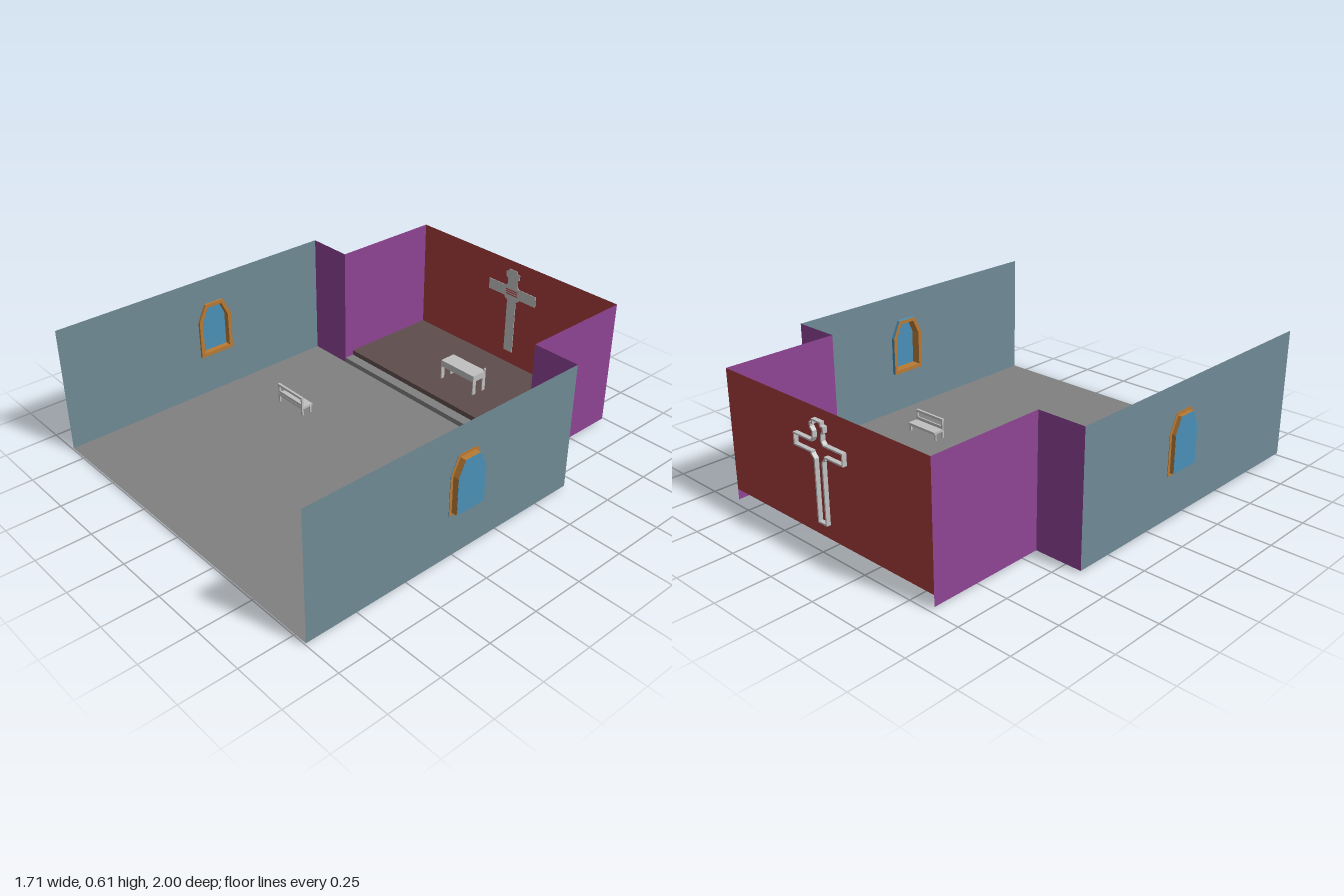
import * as THREE from 'three';

const mat = (name, color, double) => {
  const m = new THREE.MeshStandardMaterial({ color });
  m.name = name;
  if (double) m.side = THREE.DoubleSide;
  return m;
};

export function createModel() {
  const root = new THREE.Group();
  root.name = 'chapelRoom';
  const M = {
    floor: mat('floorGrey', 0x808080, true),
    stage: mat('platformBrown', 0x5e4e4c, true),
    side: mat('wallSlate', 0x708a95, true),
    purple: mat('wallPurple', 0x8e4494, true),
    red: mat('wallRed', 0xa63c3c, true),
    frame: mat('frameOrange', 0xb87a35, true),
    glass: mat('glassBlue', 0x4a90b8, true),
    pale: mat('furnitureGrey', 0xc0c0c0, true),
  };
  const add = (parent, name, geo, material) => {
    const mesh = new THREE.Mesh(geo, material);
    mesh.name = name;
    parent.add(mesh);
    return mesh;
  };
  // Box given by its limits on each axis
  const box = (parent, name, [x0, x1], [y0, y1], [z0, z1], material) =>
    add(parent, name, new THREE.BoxGeometry(x1 - x0, y1 - y0, z1 - z0)
      .translate((x0 + x1) / 2, (y0 + y1) / 2, (z0 + z1) / 2), material);
  // Flat sheets: level, facing z, facing x
  const level = (name, [x0, x1], y, [z0, z1], m) =>
    add(root, name, new THREE.PlaneGeometry(x1 - x0, z1 - z0).rotateX(-Math.PI / 2)
      .translate((x0 + x1) / 2, y, (z0 + z1) / 2), m);
  const facing = (name, [x0, x1], [y0, y1], z, m) =>
    add(root, name, new THREE.PlaneGeometry(x1 - x0, y1 - y0)
      .translate((x0 + x1) / 2, (y0 + y1) / 2, z), m);
  const sideways = (name, x, [y0, y1], [z0, z1], m) =>
    add(root, name, new THREE.PlaneGeometry(z1 - z0, y1 - y0).rotateY(Math.PI / 2)
      .translate(x, (y0 + y1) / 2, (z0 + z1) / 2), m);
  const shape = (pts, hole) => {
    const s = new THREE.Shape(pts.map(p => new THREE.Vector2(...p)));
    if (hole) s.holes.push(new THREE.Path(hole.map(p => new THREE.Vector2(...p))));
    return s;
  };
  const extrude = (s, depth) => new THREE.ExtrudeGeometry(s, { depth, bevelEnabled: false });

  const L = -0.835, R = 0.82, AL = -0.61, AR = 0.595;
  const base = 0.01, top = 0.61, front = 1, neck = -0.43, back = -0.98;

  // Floors and the step up to the platform
  level('mainFloor', [L, R], base, [neck, front], M.floor);
  facing('lowerRiser', [AL, AR], [base, 0.035], neck, M.floor);
  level('stepTread', [AL, AR], 0.035, [-0.48, neck], M.floor);
  facing('upperRiser', [AL, AR], [0.035, 0.06], -0.48, M.stage);
  level('platform', [AL, AR], 0.06, [back, -0.48], M.stage);

  // Alcove walls
  facing('backWall', [AL, AR], [0.06, top], back, M.red);
  facing('rightShoulderWall', [L, AL], [base, top], neck, M.purple);
  facing('leftShoulderWall', [AR, R], [base, top], neck, M.purple);
  sideways('rightAlcoveWall', AL, [base, top], [back, neck], M.purple);
  sideways('leftAlcoveWall', AR, [base, top], [back, neck], M.purple);

  // Window outline in z and y, shrunk by d
  const arch = d => [
    [0.108 + d, 0.211 + d], [0.287 - d, 0.211 + d], [0.287 - d, 0.4 - d * 0.3],
    [0.247 - d * 0.6, 0.482 - d], [0.148 + d * 0.6, 0.482 - d], [0.108 + d, 0.4 - d * 0.3],
  ];
  // Side walls with window openings; each window juts out from its wall
  const sideWall = (label, wallX, flangeX, boxX, paneX, rim) => {
    const turn = (geo, x) => geo.rotateY(-Math.PI / 2).translate(x, 0, 0);
    const outline = [[neck, base], [front, base], [front, top], [neck, top]];
    add(root, label + 'SideWall',
      turn(new THREE.ShapeGeometry(shape(outline, arch(0.002))), wallX), M.side);
    const g = new THREE.Group();
    g.name = label + 'Window';
    root.add(g);
    add(g, 'windowFlange', turn(extrude(shape(arch(0), arch(0.014)),
      flangeX[1] - flangeX[0]), flangeX[1]), [M.frame, rim]);
    add(g, 'windowBox', turn(extrude(shape(arch(0.014), arch(0.018)),
      boxX[1] - boxX[0]), boxX[1]), M.frame);
    add(g, 'windowPane', turn(extrude(shape(arch(0.0145)), 0.002), paneX), M.glass);
  };
  sideWall('right', L, [-0.837, -0.824], [-0.854, -0.824], -0.853, M.frame);
  sideWall('left', R, [0.803, 0.822], [0.803, 0.849], 0.85, M.glass);

  // Cross outline, shrunk by d; half profile from foot to head, then mirrored
  const cross = d => {
    const half = [
      [0.027 - d, 0.125 + d], [0.027 - d, 0.4], [0.044 - d, 0.412 + d], [0.044 - d, 0.42 + d],
      [0.148 - d, 0.42 + d], [0.148 - d, 0.475 - d], [0.04 - d, 0.475 - d],
      [0.029 - d, 0.488], [0.029 - d, 0.515], [0.042 - d, 0.524 + d],
      [0.042 - d, 0.55 - d], [0.027 - d, 0.552 - d], [0.027 - d, 0.566 - d],
    ];
    return [...half, ...half.map(([x, y]) => [-x, y]).reverse()];
  };
  const crossGroup = new THREE.Group();
  crossGroup.name = 'wallCross';
  crossGroup.position.set(-0.007, 0, 0);
  root.add(crossGroup);
  add(crossGroup, 'crossFace', extrude(shape(cross(0)), 0.003).translate(0, 0, back + 0.001), M.pale);
  add(crossGroup, 'crossRim', extrude(shape(cross(0), cross(0.007)), 0.02).translate(0, 0, -1), M.pale);
  // Red slots where the arms meet
  for (const y of [0.435, 0.447, 0.458])
    box(crossGroup, 'crossSlot', [-0.036, 0.036], [y - 0.0025, y + 0.0025], [back + 0.004, back + 0.006], M.red);

  // Benches face the platform, with the backrest toward the front
  const bench = (name, x0, x1) => {
    const g = new THREE.Group();
    g.name = name;
    root.add(g);
    for (const x of [x0, x1 - 0.009]) {
      box(g, 'backPost', [x, x + 0.009], [0, 0.105], [0.049, 0.058], M.pale);
      box(g, 'frontLeg', [x, x + 0.009], [0, 0.05], [0.002, 0.011], M.pale);
    }
    box(g, 'seat', [x0, x1], [0.043, 0.055], [-0.004, 0.058], M.pale);
    box(g, 'lowerRail', [x0, x1], [0.055, 0.07], [0.05, 0.057], M.pale);
    box(g, 'topRail', [x0, x1], [0.096, 0.108], [0.048, 0.06], M.pale);
  };
  bench('rightBench', -0.54, -0.36);
  bench('leftBench', 0.413, 0.593);

  // Altar table on the platform
  const altar = new THREE.Group();
  altar.name = 'altar';
  root.add(altar);
  box(altar, 'altarTop', [-0.114, 0.1], [0.13, 0.163], [-0.7, -0.615], M.pale);
  for (const x of [-0.114, 0.095])
    for (const z of [-0.7, -0.635])
      box(altar, 'altarLeg', [x, x + 0.005], [0.06, 0.13], [z, z + 0.02], M.pale);
  box(altar, 'altarEnd', [0.095, 0.1], [0.163, 0.178], [-0.7, -0.69], M.pale);

  return root;
}
